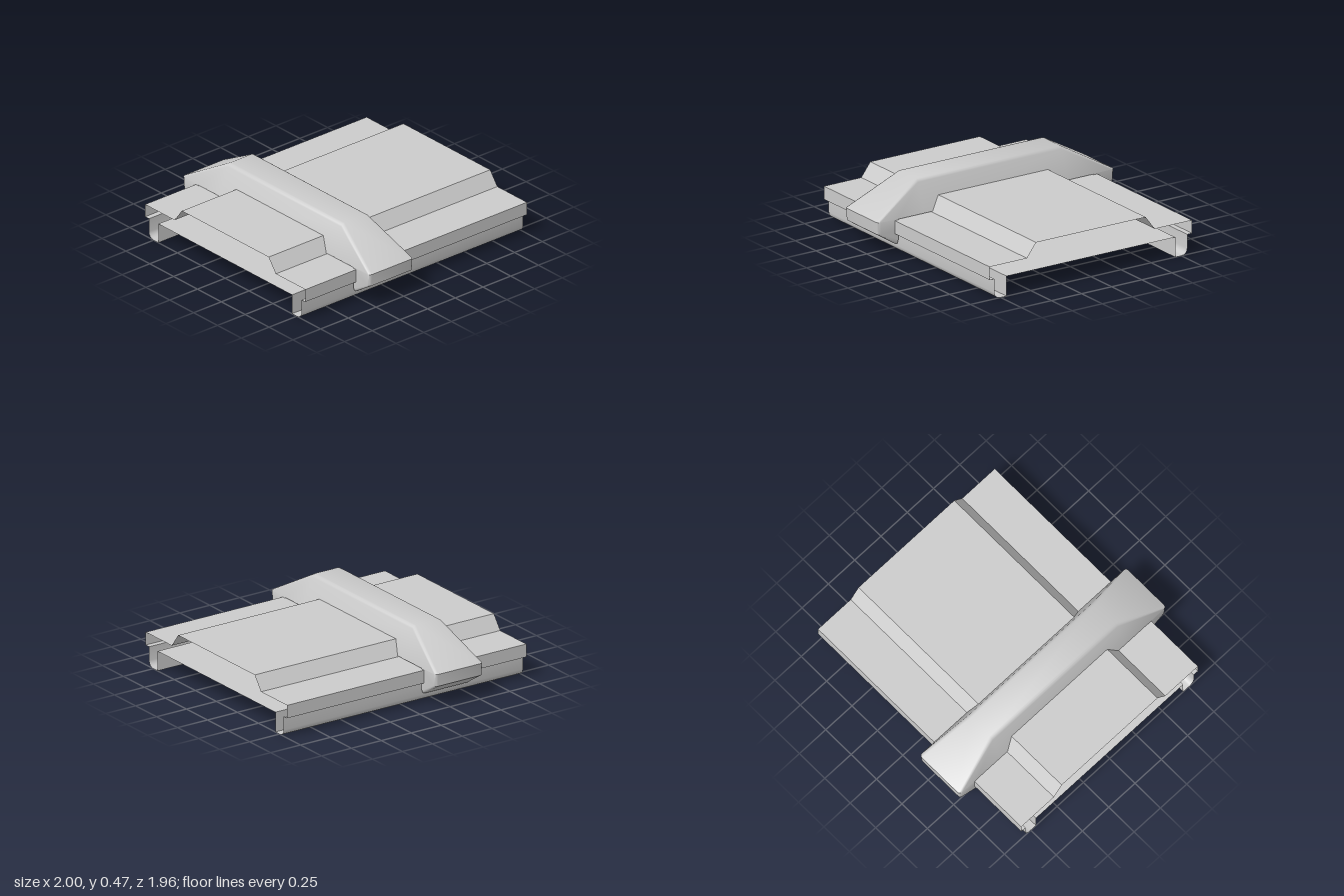
import * as THREE from 'three';
import { toCreasedNormals } from 'three/addons/utils/BufferGeometryUtils.js';

// Skin a row of closed sections (arrays of [x, y, z]), optionally capping both ends.
function loft(sections, capped) {
  const n = sections[0].length;
  const idx = [];
  for (let i = 0; i < sections.length - 1; i++) {
    for (let j = 0; j < n; j++) {
      const k = (j + 1) % n;
      const a = i * n + j, b = i * n + k, c = b + n, d = a + n;
      idx.push(a, d, c, a, c, b);
    }
  }
  if (capped) {
    const last = (sections.length - 1) * n;
    for (let j = 1; j < n - 1; j++) {
      idx.push(0, j, j + 1, last, last + j + 1, last + j);
    }
  }
  const geo = new THREE.BufferGeometry();
  geo.setAttribute('position', new THREE.Float32BufferAttribute(sections.flat(2), 3));
  geo.setIndex(idx);
  return toCreasedNormals(geo, 0.7);
}

// Repeat a half outline on the far side, in reverse order.
const mirrorHalf = (half, flip) => [...half, ...half.slice().reverse().map(flip)];

// Hollow folded sheet panel, open at both ends.
function panelGeometry() {
  const half = [[0.145, 0.7], [0, 0.7]]; // [y, z] floor edge and inner gutter wall
  for (let i = 0; i <= 4; i++) { // rounded gutter bottom
    const a = (i / 4) * Math.PI / 2;
    half.push([0.045 - 0.045 * Math.cos(a), 0.755 + 0.045 * Math.sin(a)]);
  }
  half.push([0.145, 0.8], [0.145, 0.84], [0.24, 0.84], [0.24, 0.53], [0.34, 0.455]);
  const loop = mirrorHalf(half, ([y, z]) => [y, -z]);
  return loft([-1, 1].map((x) => loop.map(([y, z]) => [x, y, z])), false);
}

// Clamp band: half width narrows towards the top.
const bandWidth = (y) => 0.198 - 0.083 * Math.max(0, (y - 0.25) / 0.22);

function bandSection({ outer, inner }) {
  const r = 0.022;
  const [oy, oz] = outer, [iy, iz] = inner;
  const len = Math.hypot(iy - oy, iz - oz);
  const side = [[bandWidth(iy), iy, iz]];
  for (let i = 0; i <= 3; i++) { // rounded outer corner
    const a = (i / 3) * Math.PI / 2;
    const t = (r * (1 - Math.sin(a))) / len;
    const y = oy + (iy - oy) * t, z = oz + (iz - oz) * t;
    side.push([bandWidth(y) - r * (1 - Math.cos(a)), y, z]);
  }
  return mirrorHalf(side, ([x, y, z]) => [-x, y, z]);
}

function bandGeometry() {
  // stations as [y, z], from the hook tip to the top of the band
  const half = [
    { outer: [0.06, 0.82], inner: [0.1, 0.81] },
    { outer: [0.16, 0.975], inner: [0.17, 0.81] },
    { outer: [0.25, 0.982], inner: [0.245, 0.81] },
    { outer: [0.47, 0.595], inner: [0.245, 0.595] },
  ];
  const stations = mirrorHalf(half, ({ outer, inner }) => ({
    outer: [outer[0], -outer[1]],
    inner: [inner[0], -inner[1]],
  }));
  return loft(stations.map(bandSection), true);
}

export function createModel() {
  const group = new THREE.Group();
  const material = new THREE.MeshStandardMaterial({ color: 0xcccccc, side: THREE.DoubleSide });

  const panel = new THREE.Mesh(panelGeometry(), material);
  panel.name = 'foldedPanel';

  const band = new THREE.Mesh(bandGeometry(), material);
  band.name = 'clampBand';
  band.position.x = -0.343;

  group.add(panel, band);
  return group;
}
